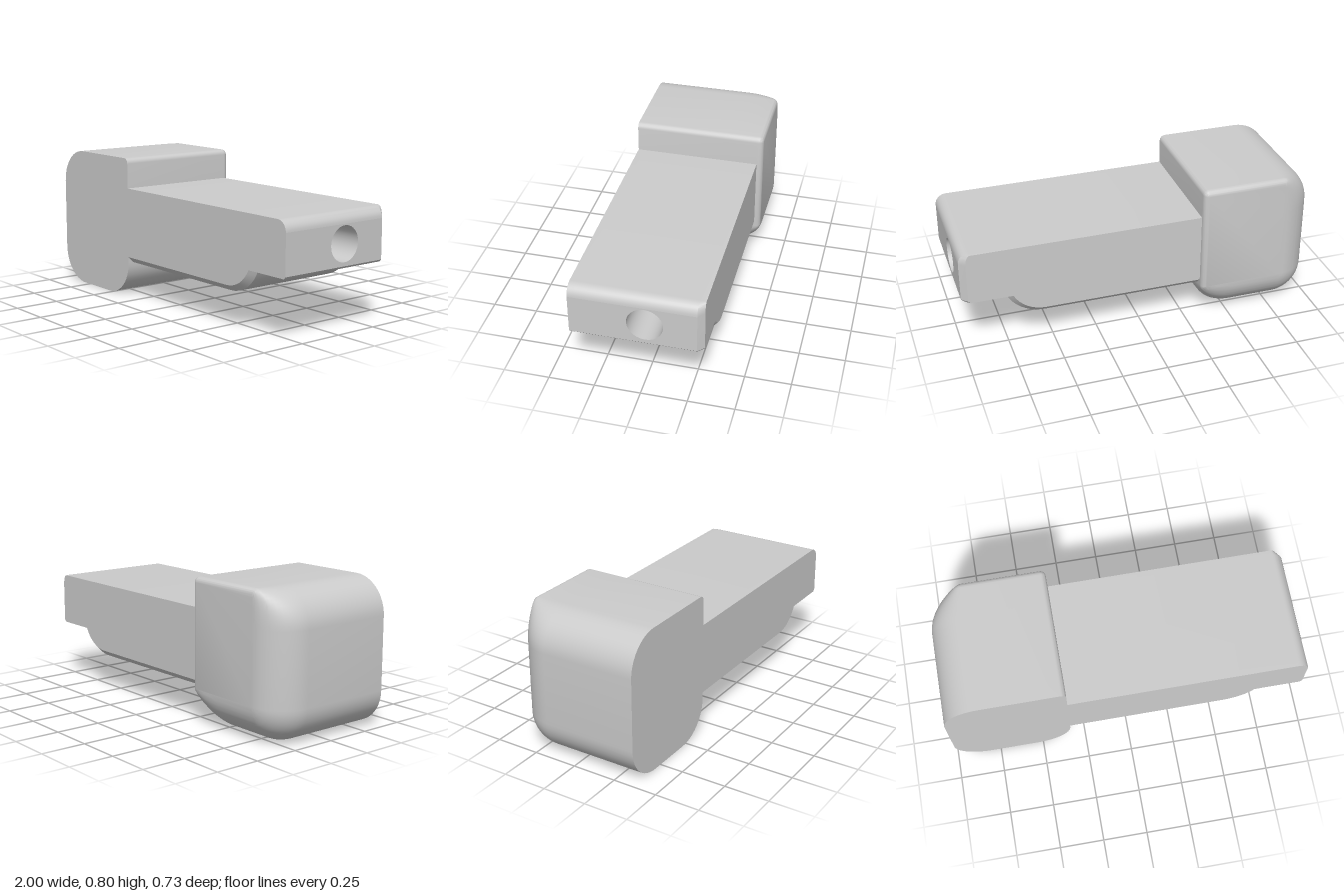
import * as THREE from 'three';
import { toCreasedNormals } from 'three/addons/utils/BufferGeometryUtils.js';

const grey = new THREE.MeshStandardMaterial({ color: 0xcccccc });
const V = (x, y) => new THREE.Vector2(x, y);

// Points of an elliptical arc, angles in radians
function arc(cx, cy, rx, ry, from, to, n) {
  return Array.from({ length: n + 1 }, (_, i) => {
    const a = from + ((to - from) * i) / n;
    return V(cx + rx * Math.cos(a), cy + ry * Math.sin(a));
  });
}

// Skin between matching counter-clockwise outlines, listed from high z to low z.
// skip(layer, side) leaves a wall out.
function loft(layers, { caps = true, skip = () => false } = {}) {
  const pos = [];
  const put = (layer, i) => pos.push(layer.points[i].x, layer.points[i].y, layer.z);
  const n = layers[0].points.length;
  for (let k = 0; k < layers.length - 1; k++) {
    const A = layers[k], B = layers[k + 1];
    for (let i = 0; i < n; i++) {
      if (skip(k, i)) continue;
      const j = (i + 1) % n;
      put(A, i); put(B, i); put(B, j);
      put(A, i); put(B, j); put(A, j);
    }
  }
  if (caps) {
    const front = layers[0], back = layers[layers.length - 1];
    for (const [a, b, c] of THREE.ShapeUtils.triangulateShape(front.points.slice(), [])) {
      put(front, a); put(front, b); put(front, c);
    }
    for (const [a, b, c] of THREE.ShapeUtils.triangulateShape(back.points.slice(), [])) {
      put(back, a); put(back, c); put(back, b);
    }
  }
  const geo = new THREE.BufferGeometry();
  geo.setAttribute('position', new THREE.Float32BufferAttribute(pos, 3));
  return toCreasedNormals(geo, 0.5);
}

function mesh(name, geometry) {
  const m = new THREE.Mesh(geometry, grey);
  m.name = name;
  return m;
}

const rect = (x0, x1, y0, y1) => [V(x0, y0), V(x1, y0), V(x1, y1), V(x0, y1)];

// Flat panel facing local +z with a blind pocket sunk into it
function pocketPanel(name, outline, hole, depth) {
  const group = new THREE.Group();
  group.name = name;
  const panel = new THREE.Shape(outline);
  panel.holes.push(new THREE.Path(hole));
  const inward = hole.slice().reverse();
  group.add(
    mesh(name + 'Face', new THREE.ShapeGeometry(panel)),
    mesh(name + 'Wall', loft([{ z: 0, points: inward }, { z: -depth, points: inward }], { caps: false })),
    mesh(name + 'Floor', new THREE.ShapeGeometry(new THREE.Shape(hole)).translate(0, 0, -depth))
  );
  return group;
}

// Head block: wide rounding on left, bottom and their back edges, slim on top and right
function makeHead() {
  const R = 0.2, r = 0.03, back = -0.367, P = Math.PI / 2;
  const zs = [0.367];
  for (let i = 0; i <= 12; i++) zs.push(back + R - R * Math.sin((P * i) / 12));
  for (let i = 0; i < 6; i++) zs.push(back + r - r * Math.sin((P * i) / 6));
  zs.sort((a, b) => b - a);
  const inset = (z, rad) => {
    const t = Math.max(0, back + rad - z);
    return rad - Math.sqrt(Math.max(0, rad * rad - t * t));
  };
  return mesh('head', loft(zs.map((z) => {
    const a = inset(z, R), b = inset(z, r);
    return {
      z,
      points: [
        ...arc(-0.8, 0.2, R - a, R - a, 2 * P, 3 * P, 12),
        ...arc(-0.533, 0.2, R - b, R - a, 3 * P, 4 * P, 12),
        ...arc(-0.363, 0.77, r - b, r - b, 0, P, 6),
        ...arc(-0.8, 0.6, R - a, R - b, P, 2 * P, 12),
      ],
    };
  })));
}

// Arm: bar with a bulging underside; c chamfers the bulge, e chamfers the end
function armOutline(c, e) {
  const r = 0.23 - c;
  return [
    V(-0.333, 0.2 + c),
    ...arc(0.55, 0.43, r, r, -Math.PI / 2, -Math.asin(0.09 / r), 8),
    V(0.988 - e, 0.34),
    ...[V(1 - e, 0.352)],
    ...arc(0.94, 0.57, 0.06 - e, 0.06, 0, Math.PI / 2, 8),
    V(-0.333, 0.63),
  ];
}

function makeArm() {
  const c = 0.033;
  const layers = [
    { z: 0.367, points: armOutline(c, 0) },
    { z: 0.334, points: armOutline(0, 0) },
    { z: -0.3, points: armOutline(0, 0) },
    { z: -0.333, points: armOutline(c, c) },
  ];
  // the end face and the flat underside are filled by pocket panels
  const skip = (k, i) => (i === 11 && k < 2) || (i === 0 && k === 1);
  return mesh('arm', loft(layers, { skip }));
}

export function createModel() {
  const model = new THREE.Group();
  model.name = 'latchBlock';

  // Round bore in the arm's end
  const bore = pocketPanel('endBore', rect(-0.367, 0.3, 0.352, 0.57),
    arc(0.032, 0.468, 0.095, 0.095, 0, Math.PI * 2, 40).slice(0, -1), 0.6);
  bore.rotation.y = Math.PI / 2;
  bore.position.x = 1;

  // Rectangular slot in the underside
  const slot = pocketPanel('undersideSlot', rect(-0.333, 0.55, -0.3, 0.334),
    rect(-0.15, 0.13, -0.08, 0.12), 0.25);
  slot.rotation.x = Math.PI / 2;
  slot.position.y = 0.2;

  model.add(makeHead(), makeArm(), bore, slot);
  return model;
}
